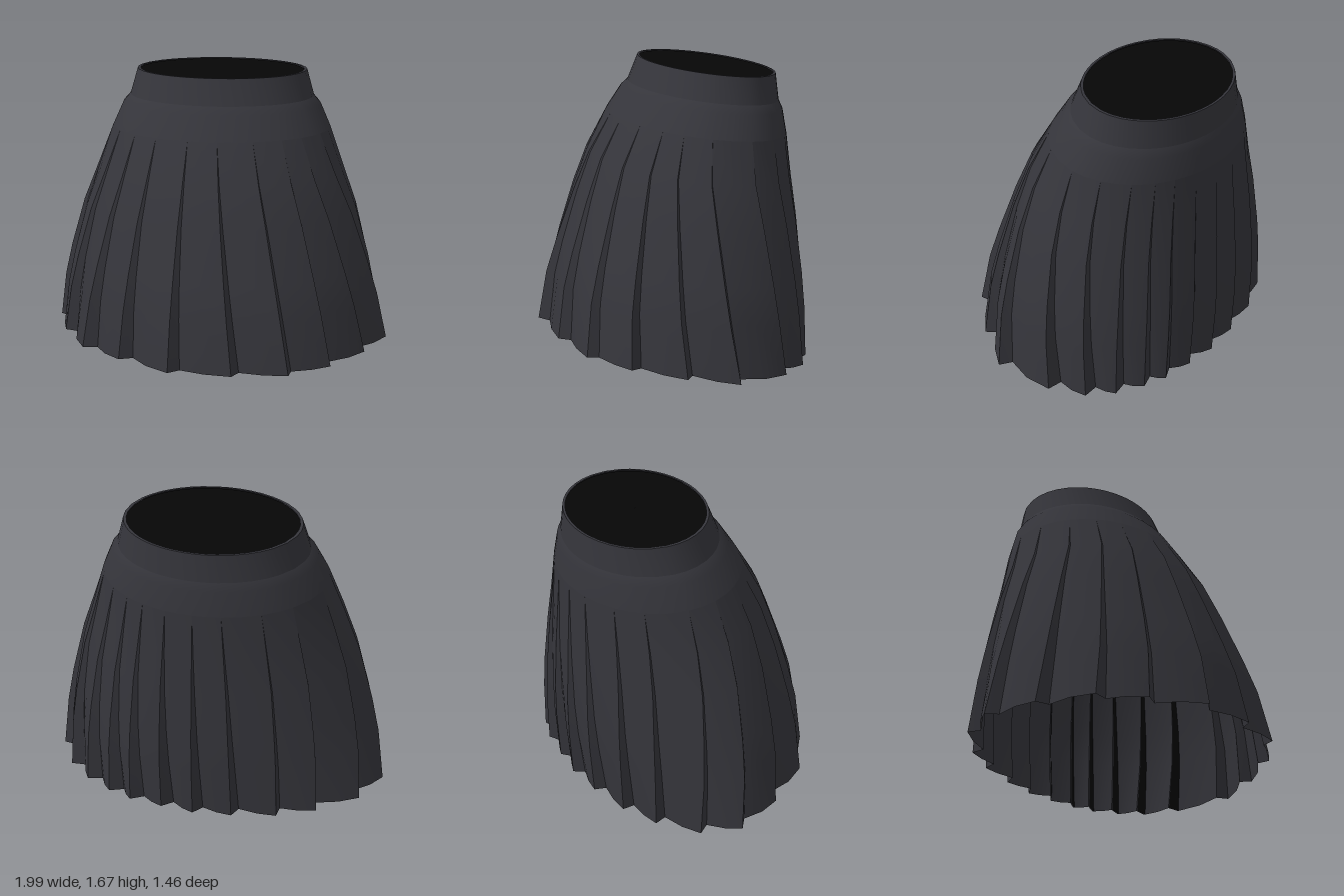
import * as THREE from 'three';

const TILT = 0.105;        // every ring leans, higher at the front
const YOKE = 1.33;         // height where the pleats open
const DEPTH = 0.075;       // fold depth at the hem
// rings: height, half width, front z, back z
const PROFILE = [
  [0.075, 0.99, 0.735, -0.715], [0.37, 0.935, 0.68, -0.73], [0.57, 0.885, 0.615, -0.73],
  [0.87, 0.80, 0.505, -0.715], [1.10, 0.715, 0.41, -0.70], [1.33, 0.635, 0.275, -0.685],
  [1.465, 0.575, 0.19, -0.667], [1.51, 0.535, 0.15, -0.65], [1.66, 0.492, 0.09, -0.635],
];
// each fold's outer edge: angle at the hem, angle at the yoke (degrees from
// the front towards +x), and how far it reaches at the hem
const FOLDS = [
  [6, 0, 1], [24, 18, 1.04], [42, 34, 0.99], [64.5, 47, 0.96], [86, 64, 1.01], [112, 90, 1.02],
  [127, 110, 1.05], [138, 128, 1.05], [148.5, 141, 1.04], [157, 152, 1.03], [168, 165, 1],
  [179, 179, 1], [192, 193, 0.99], [207, 213, 1.01], [221, 231, 1.03], [238, 257, 1.06],
  [254.5, 276, 1.045], [276, 296, 0.94], [301, 312, 0.92], [322, 327, 0.9], [345, 345, 0.99],
];
const LINED = [5, 10];     // first and last fold with a dark lining

function point([h, a, front, back], degrees, scale = 1, drop = 0) {
  const t = THREE.MathUtils.degToRad(degrees);
  const z = (front + back) / 2 + scale * (front - back) / 2 * Math.cos(t);
  return [scale * a * Math.sin(t), h - drop + TILT * z, z];
}

// skin a grid of points, rows from top to bottom, columns from left to right
function skin(rows, closed = false) {
  const n = rows[0].length, index = [];
  for (let r = 0; r < rows.length - 1; r++) {
    for (let c = 0; c < (closed ? n : n - 1); c++) {
      const d = (c + 1) % n, a = r * n, b = a + n;
      index.push(a + c, b + c, b + d, a + c, b + d, a + d);
    }
  }
  const g = new THREE.BufferGeometry();
  g.setAttribute('position', new THREE.Float32BufferAttribute(rows.flat(2), 3));
  g.setIndex(index);
  g.computeVertexNormals();
  return g;
}

export function createModel() {
  const skirt = new THREE.Group();
  skirt.name = 'pleatedSkirt';
  const cloth = new THREE.MeshStandardMaterial({ color: 0x35353b, side: THREE.DoubleSide });
  cloth.name = 'charcoalCloth';
  const black = new THREE.MeshStandardMaterial({ color: 0x060606, side: THREE.DoubleSide });
  black.name = 'blackLining';
  const add = (parent, name, geometry, material) => {
    const mesh = new THREE.Mesh(geometry, material);
    mesh.name = name;
    parent.add(mesh);
  };

  // each pleat spans from one fold to the next
  const [hem0, top0, reach0] = FOLDS[0];
  const spans = FOLDS.map((fold, i) => [fold, FOLDS[i + 1] ?? [hem0 + 360, top0 + 360, reach0]]);
  const around = spans.flatMap(([s, e]) => [s[1], (s[1] + e[1]) / 2]);
  const ring = (row, scale, drop) => around.map(t => point(row, t, scale, drop));
  const [yokeLow, yokeHigh, bandLow, bandHigh] = PROFILE.slice(5);

  // waistband and the smooth yoke below it
  add(skirt, 'waistband', skin([ring(bandHigh), ring(bandLow)], true), cloth);
  add(skirt, 'yoke', skin([ring(bandLow), ring(yokeHigh), ring(yokeLow)], true), cloth);
  add(skirt, 'waistRim', skin([ring(bandHigh, 0.965), ring(bandHigh)], true), cloth);

  // dark lining closing the waist
  const centre = ring(bandHigh, 0.001, 0.006);
  add(skirt, 'waistLining', skin([centre, ring(bandHigh, 0.97, 0.006)], true), black);

  // knife pleats: a slanting panel, then a narrow return face
  const pleats = new THREE.Group();
  pleats.name = 'pleats';
  skirt.add(pleats);
  const rows = PROFILE.slice(0, 6).reverse();
  const open = row => (YOKE - row[0]) / (YOKE - PROFILE[0][0]);
  const place = (row, [hem, top, reach], turn = 0, inset = 0) => {
    const g = open(row);
    return point(row, THREE.MathUtils.lerp(top, hem, g) + turn * g, 1 + (reach - 1 - inset) * g);
  };
  spans.forEach(([s, e], i) => {
    const middle = s.map((v, k) => (v + e[k]) / 2);
    add(pleats, 'pleatPanel', skin(rows.map(row =>
      [place(row, s, 3, DEPTH), place(row, middle, 1.5, DEPTH * 0.4), place(row, e)])), cloth);
    add(pleats, 'pleatReturn', skin(rows.map(row => [place(row, s), place(row, s, 3, DEPTH)])), cloth);
    if (i >= LINED[0] && i <= LINED[1]) {
      add(pleats, 'pleatLining', skin(rows.map(row =>
        [place(row, s, -0.4, 0.008), place(row, s, 2.6, DEPTH + 0.004)])), black);
    }
  });
  return skirt;
}
